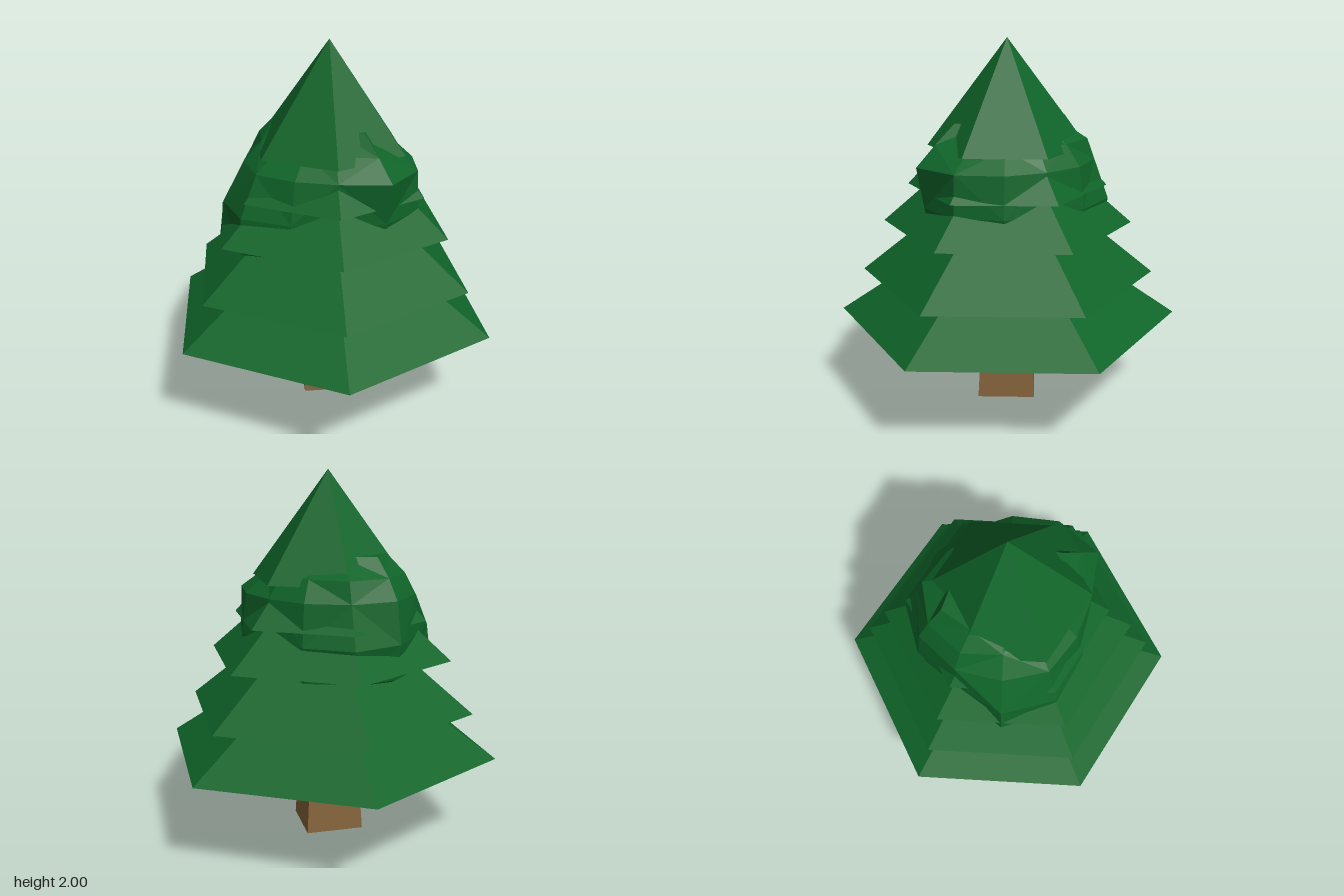
import * as THREE from 'three';

const mat = (color) => new THREE.MeshStandardMaterial({ color, flatShading: true });

// Irregular faceted clump: rings of radii every 30 degrees, starting at +z and turning towards +x
function clumpGeometry(rings) {
  const n = 12, pos = [], index = [];
  for (const { y, tilt = 0, r } of rings) {
    r.forEach((radius, i) => {
      const a = (i / n) * Math.PI * 2;
      pos.push(radius * Math.sin(a), y + tilt * Math.sin(a), radius * Math.cos(a));
    });
  }
  for (let k = 0; k < rings.length - 1; k++) {
    for (let i = 0; i < n; i++) {
      const a = k * n + i, b = k * n + (i + 1) % n, c = a + n, d = b + n;
      // alternate the diagonals for a crumpled look
      if ((i + k) % 2) index.push(a, b, d, a, d, c);
      else index.push(a, b, c, b, d, c);
    }
  }
  // close top and bottom
  const top = (rings.length - 1) * n;
  for (let i = 1; i < n - 1; i++) index.push(0, i + 1, i, top, top + i, top + i + 1);
  const g = new THREE.BufferGeometry();
  g.setAttribute('position', new THREE.Float32BufferAttribute(pos, 3));
  g.setIndex(index);
  const flat = g.toNonIndexed();
  flat.computeVertexNormals();
  return flat;
}

export function createModel() {
  const tree = new THREE.Group();
  tree.name = 'pineTree';
  const green = mat(0x0f6429), brown = mat(0x86643c), darkBrown = mat(0x5c4328);

  const add = (name, geometry, material, x = 0, y = 0, z = 0) => {
    const mesh = new THREE.Mesh(geometry, material);
    mesh.name = name;
    mesh.position.set(x, y, z);
    tree.add(mesh);
    return mesh;
  };

  // Square tapered trunk with a small foot
  const trunk = new THREE.CylinderGeometry(0.175, 0.223, 0.585, 4);
  trunk.rotateY(Math.PI / 4);
  add('trunk', trunk, brown, 0, 0.3075, 0);
  add('trunkFoot', new THREE.CylinderGeometry(0.09, 0.09, 0.03, 6).rotateY(Math.PI / 6), brown, 0, 0.015, 0);

  // Broken twig just under the foliage
  const twig = add('twig', new THREE.CylinderGeometry(0.02, 0.025, 0.14, 6), darkBrown, 0.15, 0.485, 0);
  twig.rotation.z = -Math.PI / 3;

  // Stacked six-sided tiers: [base height, radius, apex height]
  const tiers = [
    [0.48, 0.935, 1.11],
    [0.72, 0.805, 1.37],
    [1.005, 0.68, 1.6],
    [1.215, 0.54, 1.8],
    [1.43, 0.43, 2.0],
  ];
  tiers.forEach(([base, radius, apex], i) => {
    add(`foliageTier${i + 1}`, new THREE.ConeGeometry(radius, apex - base, 6), green, 0, (base + apex) / 2, 0);
  });

  // Lumpy foliage mass bulging out between the upper tiers
  add('foliageClump', clumpGeometry([
    { y: 0.89, r: [0.3, 0.3, 0.3, 0.3, 0.3, 0.3, 0.35, 0.38, 0.4, 0.48, 0.46, 0.36] },
    { y: 0.95, r: [0.40, 0.45, 0.46, 0.43, 0.42, 0.45, 0.50, 0.50, 0.49, 0.60, 0.57, 0.46] },
    { y: 1.14, r: [0.43, 0.49, 0.51, 0.475, 0.44, 0.47, 0.55, 0.53, 0.50, 0.575, 0.56, 0.47] },
    { y: 1.36, r: [0.43, 0.53, 0.50, 0.45, 0.42, 0.44, 0.47, 0.50, 0.48, 0.46, 0.46, 0.42] },
    { y: 1.47, r: [0.33, 0.42, 0.35, 0.33, 0.34, 0.36, 0.43, 0.44, 0.42, 0.36, 0.33, 0.30] },
    { y: 1.57, r: [0.20, 0.31, 0.20, 0.16, 0.18, 0.22, 0.26, 0.36, 0.32, 0.24, 0.18, 0.16] },
  ]), green);

  return tree;
}
